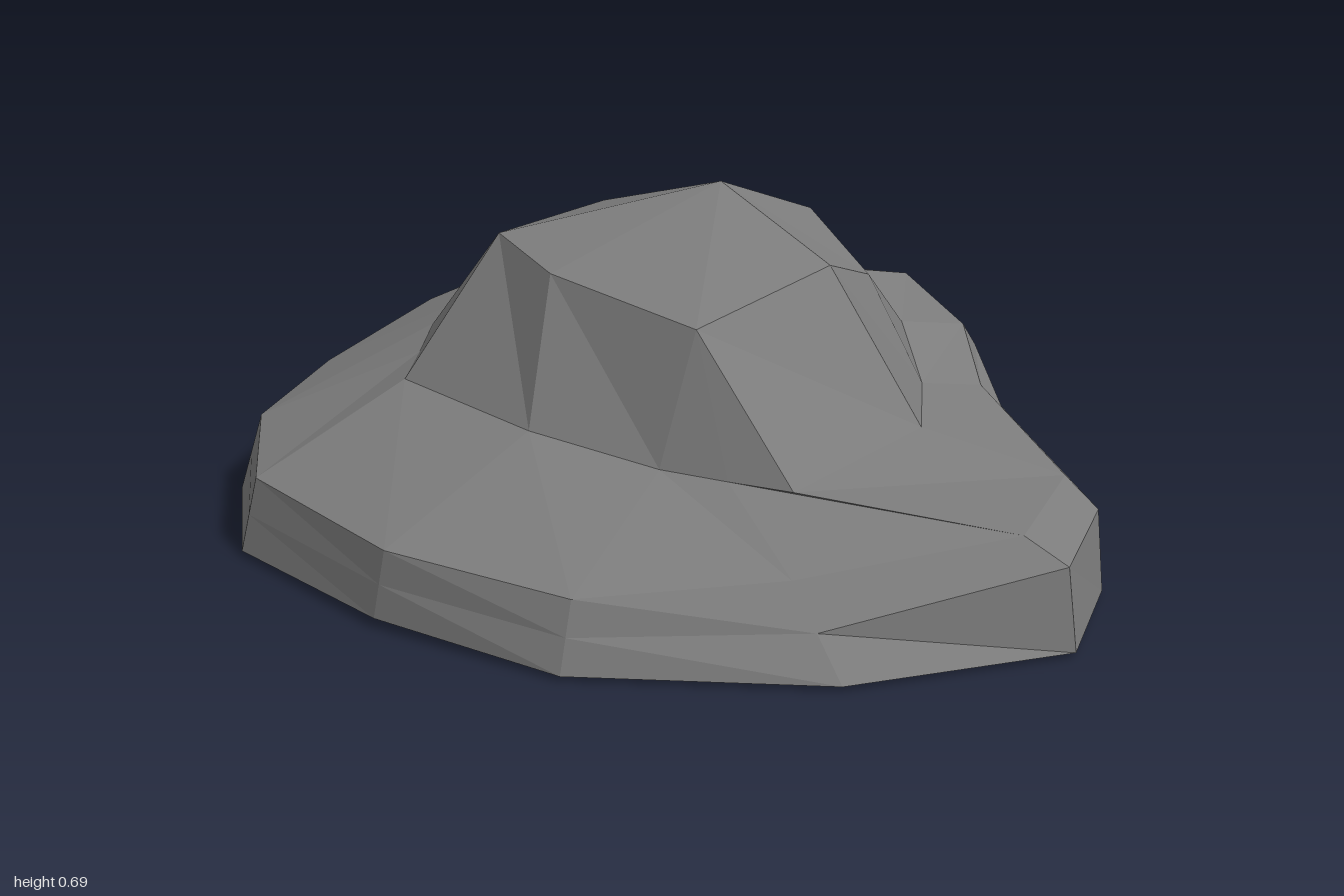
import * as THREE from 'three';

// Cross-sections of the boulder: 14 [x, y, z] points each, from the back round by +x
const base = [
  [0.18, 0.01, -1], [0.45, 0, -0.8], [0.72, 0, -0.32], [0.77, 0.01, 0.05], [0.67, 0.01, 0.29],
  [0.52, 0.01, 0.48], [0.3, 0.01, 0.88], [0.04, 0.01, 1], [-0.36, 0.01, 0.78], [-0.68, 0.01, 0.39],
  [-0.77, 0.02, -0.02], [-0.74, 0.01, -0.47], [-0.54, 0.01, -0.74], [-0.24, 0.01, -0.95],
];
const rim = [
  [0.18, 0.22, -0.95], [0.39, 0.33, -0.73], [0.68, 0.345, -0.26], [0.73, 0.375, 0.04], [0.64, 0.33, 0.27],
  [0.48, 0.275, 0.44], [0.3, 0.222, 0.78], [0, 0.225, 0.9], [-0.34, 0.165, 0.64], [-0.64, 0.145, 0.38],
  [-0.755, 0.16, 0], [-0.71, 0.165, -0.45], [-0.5, 0.175, -0.71], [-0.19, 0.18, -0.87],
];
const ledge = [
  [0.1, 0.35, -0.62], [0.28, 0.395, -0.62], [0.52, 0.36, -0.25], [0.58, 0.41, 0], [0.49, 0.36, 0.22],
  [0.36, 0.295, 0.38], [0.18, 0.285, 0.52], [-0.2, 0.26, 0.52], [-0.25, 0.262, 0.4], [-0.3, 0.265, 0.27],
  [-0.385, 0.295, 0], [-0.385, 0.31, -0.37], [-0.25, 0.31, -0.48], [-0.11, 0.31, -0.6],
];
// The crown has fewer corners, so several spokes share one
const corners = [
  [0.12, 0.6, -0.3], [0.42, 0.585, 0.02], [0.3, 0.52, 0.28], [0.13, 0.585, 0.32],
  [-0.21, 0.525, 0.28], [-0.255, 0.57, -0.07], [-0.19, 0.595, -0.29],
];
const crown = [0, 0, 1, 1, 2, 2, 3, 4, 4, 4, 5, 6, 6, 6].map((i) => corners[i]);
const peak = base.map(() => [0.16, 0.69, 0]);

// Chamfer line: a bevel on the tall side, a plain wall on the low side
const shoulder = base.map((b, i) => {
  const r = rim[i];
  const tall = i > 0 && i < 8;
  const t = tall ? 0.2 : 0.5;
  return [
    b[0] + (r[0] - b[0]) * t,
    tall ? r[1] - 0.048 : (b[1] + r[1]) / 2,
    b[2] + (r[2] - b[2]) * t,
  ];
});

// Joins neighbouring rings with triangles, dropping collapsed ones
function loft(rings) {
  const positions = [];
  const triangle = (a, b, c) => {
    const same = (p, q) => p.every((v, k) => v === q[k]);
    if (!same(a, b) && !same(b, c) && !same(a, c)) positions.push(...a, ...b, ...c);
  };
  for (let r = 0; r < rings.length - 1; r++) {
    const low = rings[r], high = rings[r + 1], n = low.length;
    for (let i = 0; i < n; i++) {
      const j = (i + 1) % n;
      triangle(low[i], high[j], low[j]);
      triangle(low[i], high[i], high[j]);
    }
  }
  const geometry = new THREE.BufferGeometry();
  geometry.setAttribute('position', new THREE.Float32BufferAttribute(positions, 3));
  geometry.computeVertexNormals();
  return geometry;
}

export function createModel() {
  const group = new THREE.Group();
  group.name = 'boulder';
  const stone = new THREE.MeshStandardMaterial({
    color: 0x7c7c7c, flatShading: true, side: THREE.DoubleSide,
  });
  stone.name = 'grey stone';

  // Hollow shell, open underneath
  const parts = {
    boulderWall: [base, shoulder, rim],
    boulderBrim: [rim, ledge],
    boulderCrown: [ledge, crown, peak],
  };
  for (const [name, rings] of Object.entries(parts)) {
    const mesh = new THREE.Mesh(loft(rings), stone);
    mesh.name = name;
    group.add(mesh);
  }
  return group;
}
